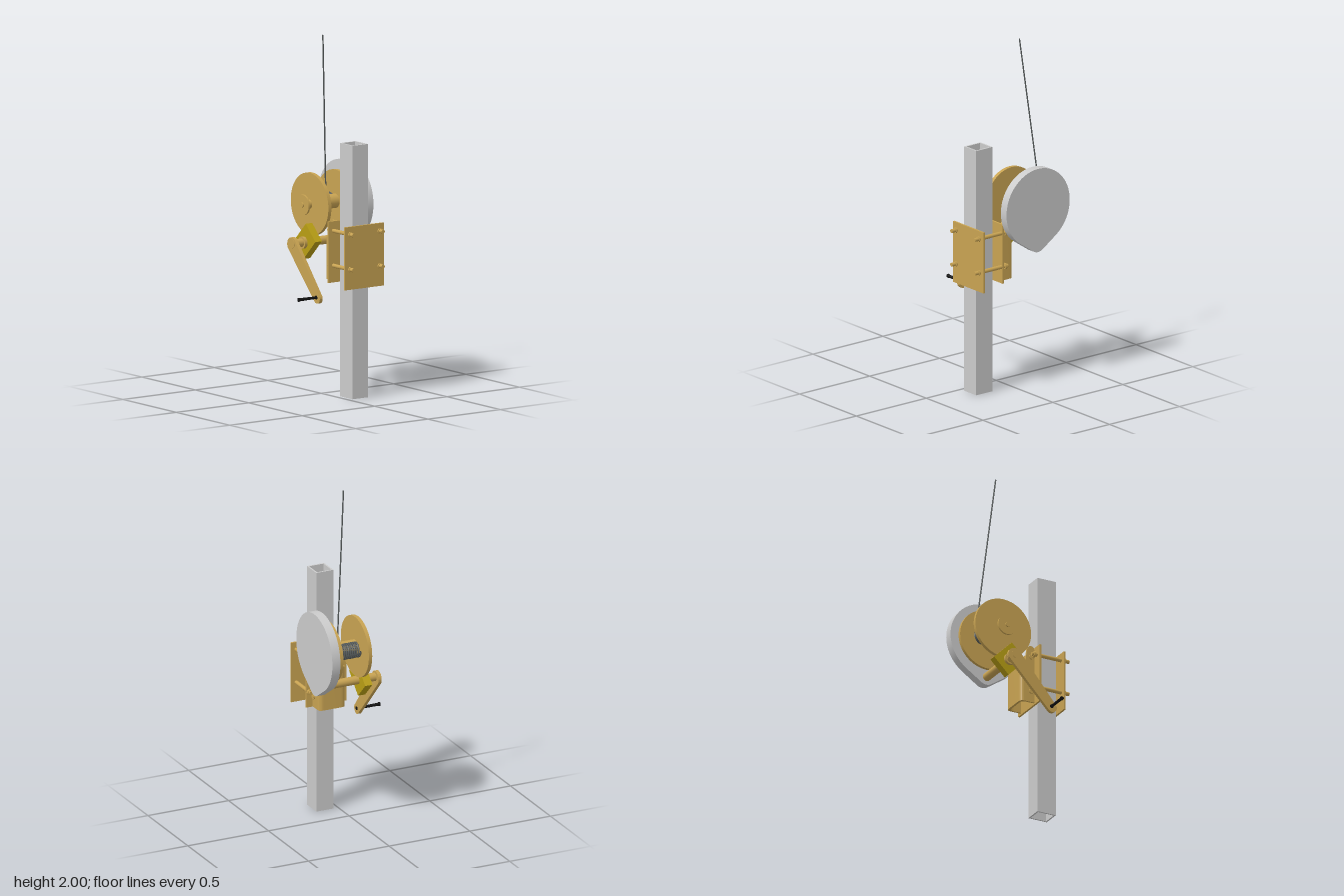
import * as THREE from 'three';
import { toCreasedNormals } from 'three/addons/utils/BufferGeometryUtils.js';

const mat = (color) => new THREE.MeshStandardMaterial({ color });
const steel = mat(0xcccccc), brass = mat(0xc8a352), yellow = mat(0xb89e14);
const black = mat(0x111111), ropeMat = mat(0x555a5a);

export function createModel() {
  const model = new THREE.Group();

  const add = (name, geometry, material, x = 0, y = 0, z = 0) => {
    const mesh = new THREE.Mesh(geometry, material);
    mesh.name = name;
    mesh.position.set(x, y, z);
    model.add(mesh);
    return mesh;
  };

  // Box given by its limits on each axis
  const box = (name, material, [x0, x1], [y0, y1], [z0, z1]) =>
    add(name, new THREE.BoxGeometry(x1 - x0, y1 - y0, z1 - z0), material,
      (x0 + x1) / 2, (y0 + y1) / 2, (z0 + z1) / 2);

  // Cylinder lying along z, or along x
  const rodZ = (name, material, x, y, z0, z1, r, rEnd = r, sides = 32) =>
    add(name, new THREE.CylinderGeometry(rEnd, r, z1 - z0, sides).rotateX(Math.PI / 2),
      material, x, y, (z0 + z1) / 2);
  const rodX = (name, material, x0, x1, y, z, r, sides = 20) =>
    add(name, new THREE.CylinderGeometry(r, r, x1 - x0, sides).rotateZ(Math.PI / 2),
      material, (x0 + x1) / 2, y, z);

  // Flat shape extruded from z0 to z1
  const slab = (name, material, shape, z0, z1) =>
    add(name, toCreasedNormals(new THREE.ExtrudeGeometry(shape,
      { depth: z1 - z0, bevelEnabled: false, curveSegments: 24 }), 0.6), material, 0, 0, z0);

  // Outline wrapped tightly round a large circle and a small one
  const wrapCircles = (ax, ay, ar, bx, by, br) => {
    const dir = Math.atan2(by - ay, bx - ax);
    const t = Math.acos((ar - br) / Math.hypot(bx - ax, by - ay));
    const s = new THREE.Shape();
    s.absarc(ax, ay, ar, dir + t, dir - t + Math.PI * 2, false);
    s.absarc(bx, by, br, dir - t, dir + t, false);
    s.closePath();
    return s;
  };

  // Rectangle path, used for the hollow post
  const rect = (path, x0, x1, y0, y1) =>
    path.moveTo(x0, y0).lineTo(x1, y0).lineTo(x1, y1).lineTo(x0, y1).closePath();

  // Square tube post
  const section = new THREE.Shape();
  rect(section, -0.058, 0.058, -0.053, 0.053);
  const bore = new THREE.Path();
  rect(bore, -0.049, 0.049, -0.044, 0.044);
  section.holes.push(bore);
  add('post', new THREE.ExtrudeGeometry(section, { depth: 1.43, bevelEnabled: false })
    .rotateX(-Math.PI / 2), steel, 0.195, 0, -0.083);

  // Clamp plates, with four bolts through them
  box('innerClampPlate', brass, [0.113, 0.124], [0.645, 0.99], [-0.21, 0.04]);
  box('outerClampPlate', brass, [0.266, 0.277], [0.625, 0.98], [-0.228, 0.04]);
  for (const y of [0.74, 0.937]) {
    for (const z of [-0.196, 0.007]) {
      rodX('clampBolt', brass, 0.08, 0.315, y, z, 0.011);
      rodX('boltHead', brass, 0.09, 0.102, y, z, 0.018, 6);
      rodX('clampNut', brass, 0.282, 0.29, y, z, 0.017, 6);
    }
  }

  // U-shaped bracket: a back wall with rounded corners
  const wall = new THREE.Shape();
  const [zA, zB] = [-0.175, -0.011];
  wall.moveTo(0.06, -zA).lineTo(0.042, -zA).quadraticCurveTo(0.02, -zA, 0.02, -zA - 0.03)
    .lineTo(0.02, -zB + 0.03).quadraticCurveTo(0.02, -zB, 0.042, -zB).lineTo(0.06, -zB)
    .lineTo(0.06, -zB + 0.01).quadraticCurveTo(0.033, -zB + 0.01, 0.033, -zB + 0.035)
    .lineTo(0.033, -zA - 0.035).quadraticCurveTo(0.033, -zA - 0.01, 0.06, -zA - 0.01)
    .closePath();
  add('bracketWall', toCreasedNormals(new THREE.ExtrudeGeometry(wall,
    { depth: 0.24, bevelEnabled: false }).rotateX(-Math.PI / 2), 0.6), brass, 0, 0.65, 0);

  // Bracket cheeks with rounded tops, and the pins through them
  const cheek = new THREE.Shape();
  cheek.moveTo(0.05, 0.65).lineTo(0.107, 0.65).lineTo(0.107, 0.965);
  cheek.quadraticCurveTo(0.107, 0.992, 0.085, 0.992);
  cheek.quadraticCurveTo(0.067, 0.992, 0.06, 0.965);
  cheek.lineTo(0.05, 0.89).closePath();
  for (const z of [zA, zB - 0.01]) slab('bracketCheek', brass, cheek, z, z + 0.01);
  for (const y of [0.715, 0.925]) {
    rodZ('bracketPin', brass, 0.086, y, -0.185, -0.003, 0.008);
    for (const z of [-0.183, -0.011]) rodZ('pinHead', brass, 0.086, y, z, z + 0.008, 0.016, 0.016, 6);
  }

  // Drum: core, two flanges, axle and front hub
  const dx = -0.099, dy = 1.055;
  rodZ('drumCore', brass, dx, dy, -0.172, -0.012, 0.04);
  rodZ('drumFlange', brass, dx, dy, -0.19, -0.171, 0.176, 0.176, 64);
  rodZ('drumFlange', brass, dx, dy, -0.014, 0.007, 0.176, 0.176, 64);
  rodZ('drumAxle', brass, dx, dy, -0.215, 0.05, 0.025);
  rodZ('drumHub', brass, dx, dy, 0.045, 0.055, 0.057);
  rodZ('axleTip', brass, dx, dy, 0.05, 0.063, 0.013);

  // Wound rope and its free end running upwards
  const coil = [], turns = 12, steps = 14;
  for (let i = 0; i <= turns * steps; i++) {
    const a = Math.PI - (i / steps) * Math.PI * 2;
    coil.push(new THREE.Vector3(-0.145 + 0.041 * Math.cos(a), dy + 0.041 * Math.sin(a),
      -0.166 + 0.146 * i / (turns * steps)));
  }
  add('ropeCoil', new THREE.TubeGeometry(new THREE.CatmullRomCurve3(coil), 420, 0.005, 8), ropeMat);
  const rope = new THREE.LineCurve3(new THREE.Vector3(-0.184, dy, -0.168),
    new THREE.Vector3(-0.098, 2, -0.084));
  add('freeRope', new THREE.TubeGeometry(rope, 1, 0.004, 10), ropeMat).material.side = THREE.DoubleSide;

  // Gear cover with a lobe over the crank shaft
  slab('gearCover', steel, wrapCircles(-0.089, 1.06, 0.226, -0.089, 0.857, 0.058), -0.26, -0.21);

  // Crank shaft, brake block and sleeve
  const cx = -0.087, cy = 0.845;
  rodZ('crankShaft', brass, cx, cy, -0.215, 0.137, 0.024);
  rodZ('shaftSleeve', brass, cx, cy, 0.05, 0.072, 0.034);
  const block = add('brakeBlock', new THREE.BoxGeometry(0.128, 0.157, 0.045), yellow, -0.081, 0.852, 0.032);
  block.rotation.z = -Math.PI / 4;

  // Crank arm and tapered handle
  slab('crankArm', brass, wrapCircles(-0.094, 0.84, 0.041, 0.141, 0.57, 0.029), 0.115, 0.135);
  rodZ('crankHandle', black, 0.137, 0.575, 0.113, 0.254, 0.007, 0.009, 20);
  rodZ('handleEnd', black, 0.137, 0.575, 0.25, 0.258, 0.011, 0.011, 20);
  rodZ('handleRivet', black, 0.137, 0.575, 0.113, 0.138, 0.011, 0.011, 20);

  return model;
}
